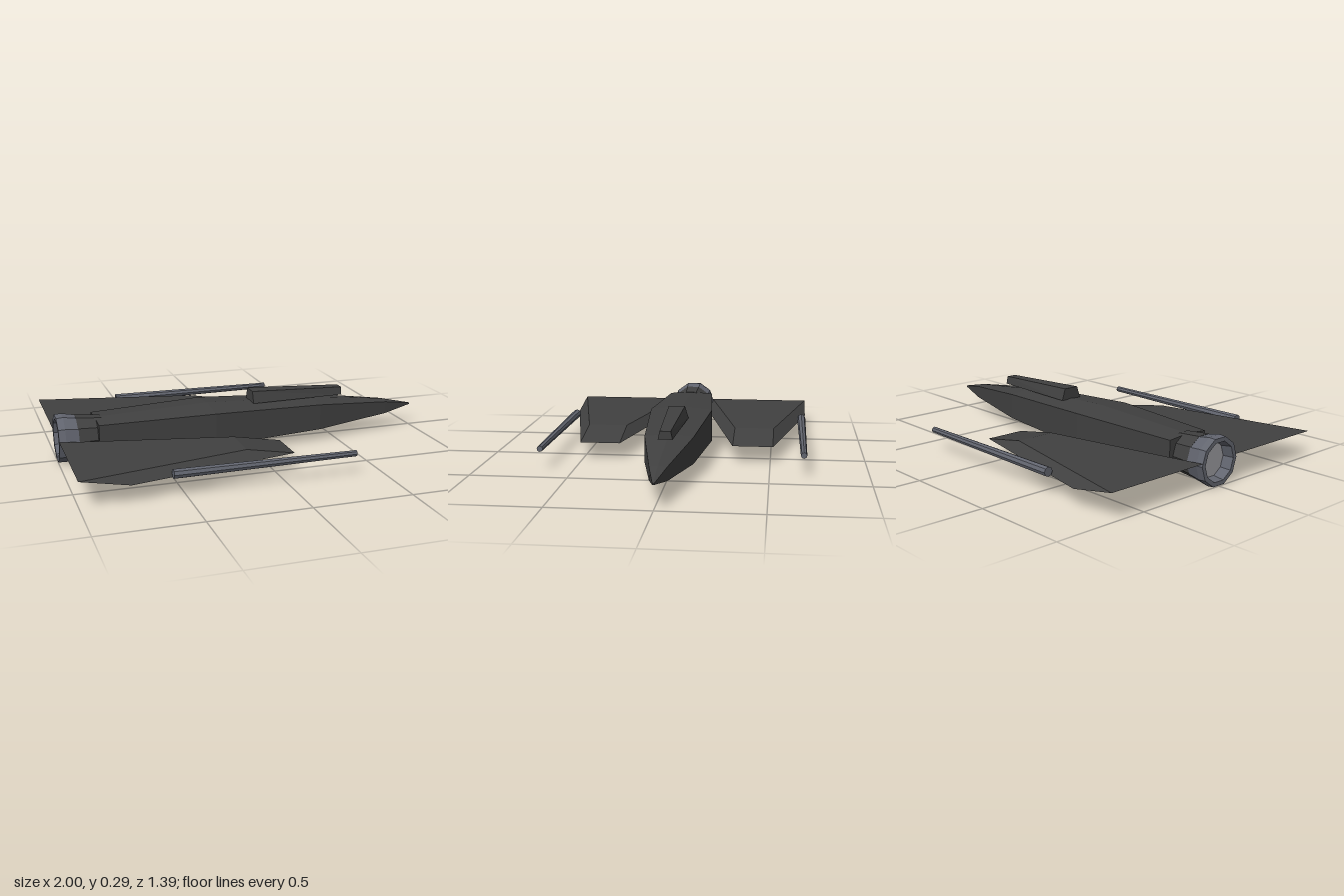
import * as THREE from 'three';

const mat = (name, color) => new THREE.MeshStandardMaterial({ name, color, flatShading: true });

// Skin a row of cross-sections (rear to front) and cap both ends.
// Each section lists [x, y, z] points in the order top, +z side, bottom, -z side.
function loft(sections) {
  const pos = [];
  const tri = (a, b, c) => pos.push(...a, ...b, ...c);
  const n = sections[0].length;
  for (let s = 0; s < sections.length - 1; s++) {
    const a = sections[s], b = sections[s + 1];
    for (let i = 0; i < n; i++) {
      const j = (i + 1) % n;
      tri(a[i], a[j], b[j]);
      tri(a[i], b[j], b[i]);
    }
  }
  const rear = sections[0], front = sections[sections.length - 1];
  for (let i = 1; i < n - 1; i++) {
    tri(rear[0], rear[i + 1], rear[i]);
    tri(front[0], front[i], front[i + 1]);
  }
  const g = new THREE.BufferGeometry();
  g.setAttribute('position', new THREE.Float32BufferAttribute(pos, 3));
  g.computeVertexNormals();
  return g;
}

export function createModel() {
  const model = new THREE.Group();
  model.name = 'spacecraft';
  const hull = mat('dark hull grey', 0x404040);
  const metal = mat('blue grey metal', 0x62656f);
  const glow = mat('pale exhaust grey', 0x9a9a9e);

  const add = (name, geometry, material, x = 0, y = 0, z = 0) => {
    const m = new THREE.Mesh(geometry, material);
    m.name = name;
    m.position.set(x, y, z);
    model.add(m);
    return m;
  };

  // Fuselage: six-sided sections [x, half width, ridge, upper edge, lower edge, keel]
  const stations = [
    [-0.8, 0.125, 0.215, 0.205, 0.04, 0.03],
    [-0.2, 0.17, 0.238, 0.221, 0.046, 0.034],
    [0.4, 0.123, 0.215, 0.202, 0.065, 0.055],
    [0.83, 0.042, 0.166, 0.158, 0.092, 0.086],
    [1, 0.004, 0.127, 0.126, 0.12, 0.119],
  ];
  add('fuselage', loft(stations.map(([x, w, top, up, low, keel]) => [
    [x, top, 0], [x, up, w], [x, low, w], [x, keel, 0], [x, low, -w], [x, up, -w],
  ])), hull);

  // Canopy: tapered block on the spine
  const canopy = (x, top, base, wTop, wBase) => [
    [x, top, -wTop], [x, top, wTop], [x, base, wBase], [x, base, -wBase],
  ];
  add('canopy', loft([
    canopy(0.04, 0.287, 0.225, 0.043, 0.063),
    canopy(0.56, 0.264, 0.223, 0.027, 0.036),
  ]), hull);

  // Wings: tapered plates whose upper face is swept back from the lower one
  const chord = (xTop, xLow, w) => [
    [xTop, 0.135, -w], [xTop, 0.135, w], [xLow, 0.09, w], [xLow, 0.09, -w],
  ];
  const wing = loft([chord(-1, -0.76, 0.289), chord(-0.15, 0.1, 0.106)]);

  // Long slim barrels beside the wing tips
  const barrel = new THREE.CylinderGeometry(0.024, 0.016, 0.92, 8).rotateZ(Math.PI / 2);

  for (const [side, s] of [['front', 1], ['rear', -1]]) {
    add(side + 'SideWing', wing, hull, 0, 0, s * 0.407);
    add(side + 'SideBarrel', barrel, metal, -0.1, 0.112, s * 0.67);
  }

  // Engine collar joining the fuselage to the nozzle
  add('engineCollar', new THREE.CylinderGeometry(0.112, 0.1, 0.13, 10, 1)
    .rotateZ(Math.PI / 2), hull, -0.835, 0.122, 0);

  // Hollow nozzle: outer wall, rim and inner wall
  const profile = [[0.112, 0.895], [0.125, 0.965], [0.122, 1], [0.1, 1], [0.09, 0.94]]
    .map(([r, d]) => new THREE.Vector2(r, d));
  add('engineNozzle', new THREE.LatheGeometry(profile, 10)
    .rotateZ(Math.PI / 2), metal, 0, 0.12, 0);

  // Exhaust face set inside the nozzle
  add('exhaust', new THREE.CircleGeometry(0.095, 10)
    .rotateY(-Math.PI / 2), glow, -0.945, 0.12, 0);

  return model;
}
